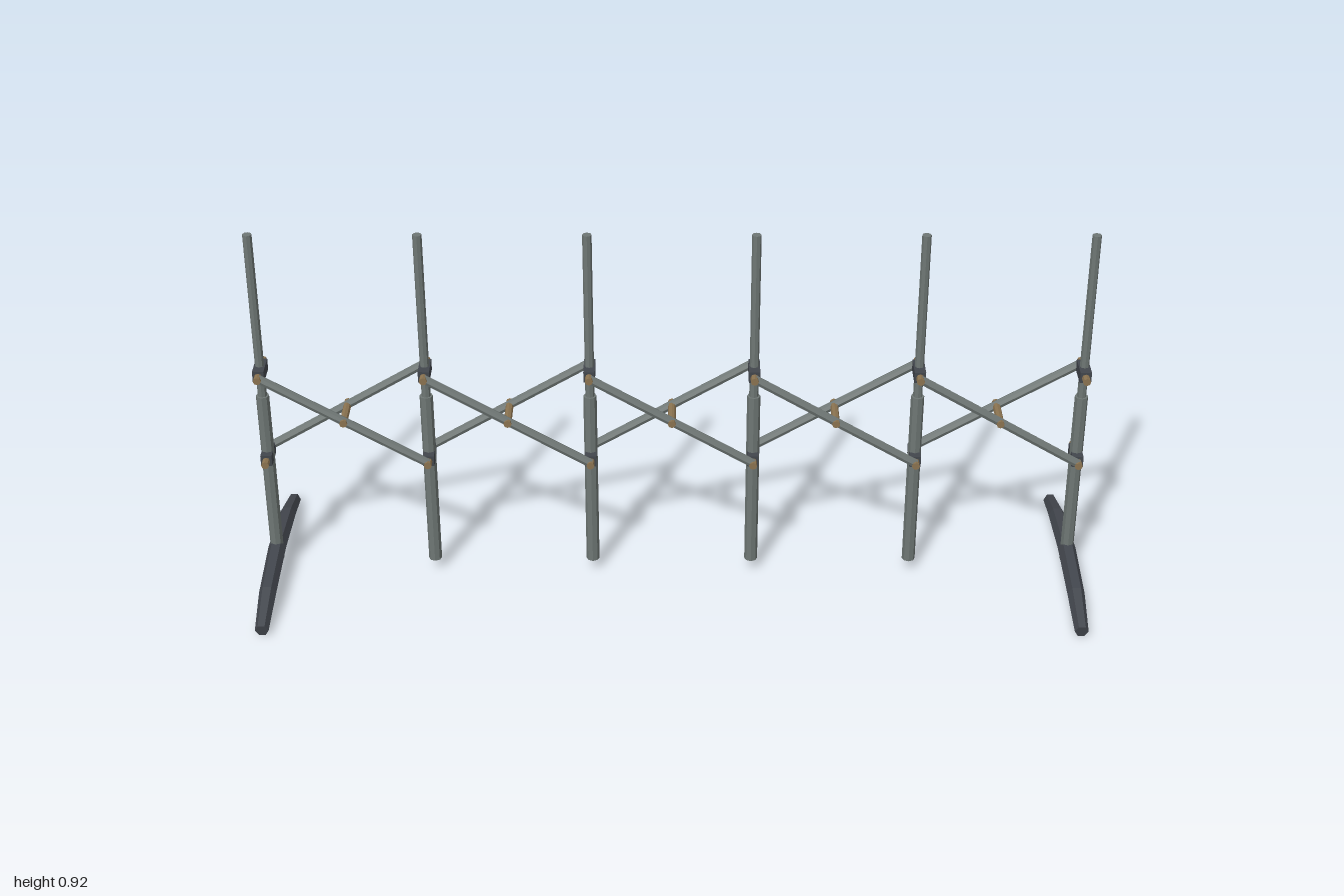
import * as THREE from 'three';

const POSTS = 6, SPAN = 1.956, STEP = SPAN / (POSTS - 1);
const LOW = 0.332, HIGH = 0.565, MID = (LOW + HIGH) / 2, BAR_Z = 0.04;

function material(name, color) {
  const m = new THREE.MeshStandardMaterial({ color });
  m.name = name;
  m.flatShading = true;
  return m;
}

export function createModel() {
  const model = new THREE.Group();
  model.name = 'expandingBarrier';
  const steel = material('greySteel', 0x6e7674);
  const dark = material('darkMetal', 0x42464d);
  const bronze = material('bronze', 0x8b7350);

  const add = (name, geometry, mat, x, y, z = 0) => {
    const mesh = new THREE.Mesh(geometry, mat);
    mesh.name = name;
    mesh.position.set(x, y, z);
    model.add(mesh);
    return mesh;
  };

  // Shared shapes
  const sleeve = new THREE.CylinderGeometry(0.016, 0.016, 0.465, 8);
  const rod = new THREE.CylinderGeometry(0.011, 0.011, 0.445, 8);
  const bracket = new THREE.BoxGeometry(0.027, 0.028, 0.065);
  const pin = new THREE.CylinderGeometry(0.0095, 0.0095, 0.108, 8).rotateX(Math.PI / 2);
  const bar = new THREE.CylinderGeometry(0.011, 0.011, Math.hypot(STEP, HIGH - LOW), 8);
  const foot = footGeometry();

  // Telescopic posts with a bracket and pivot pin at each joint
  for (let i = 0; i < POSTS; i++) {
    const x = -SPAN / 2 + i * STEP;
    add('postSleeve', sleeve, steel, x, 0.2645);
    add('postRod', rod, steel, x, 0.7025);
    for (const y of [LOW, HIGH]) {
      add('bracket', bracket, dark, x, y);
      add('pivotPin', pin, bronze, x, y);
    }
    if (i === 0 || i === POSTS - 1) add('foot', foot, dark, x, 0);
  }

  // Scissor lattice: front bars fall towards +x, back bars rise
  const lean = Math.atan2(STEP, HIGH - LOW);
  for (let i = 0; i < POSTS - 1; i++) {
    const x = -SPAN / 2 + (i + 0.5) * STEP;
    for (const side of [1, -1]) {
      const mesh = add(side > 0 ? 'frontBar' : 'backBar', bar, steel, x, MID, side * BAR_Z);
      mesh.rotation.z = side * lean;
    }
    add('crossingPin', pin, bronze, x, MID);
  }
  return model;
}

// Arched hexagonal foot: rings moved along a bent, tapering path
function footGeometry() {
  const path = [[0, 0.062, 1], [0.175, 0.046, 0.95], [0.291, 0.0165, 0.75]]; // z, y, scale
  const g = new THREE.CylinderGeometry(0.022, 0.022, 4, 6, 4);
  g.rotateY(Math.PI / 6).rotateX(Math.PI / 2);
  const p = g.attributes.position;
  for (let i = 0; i < p.count; i++) {
    const ring = Math.round(p.getZ(i));
    const [z, y, s] = path[Math.abs(ring)];
    const up = p.getY(i) * s;
    p.setXYZ(i, p.getX(i) * s, y + up, Math.sign(ring) * (z + up * 0.1 * Math.abs(ring)));
  }
  g.computeVertexNormals();
  return g;
}
